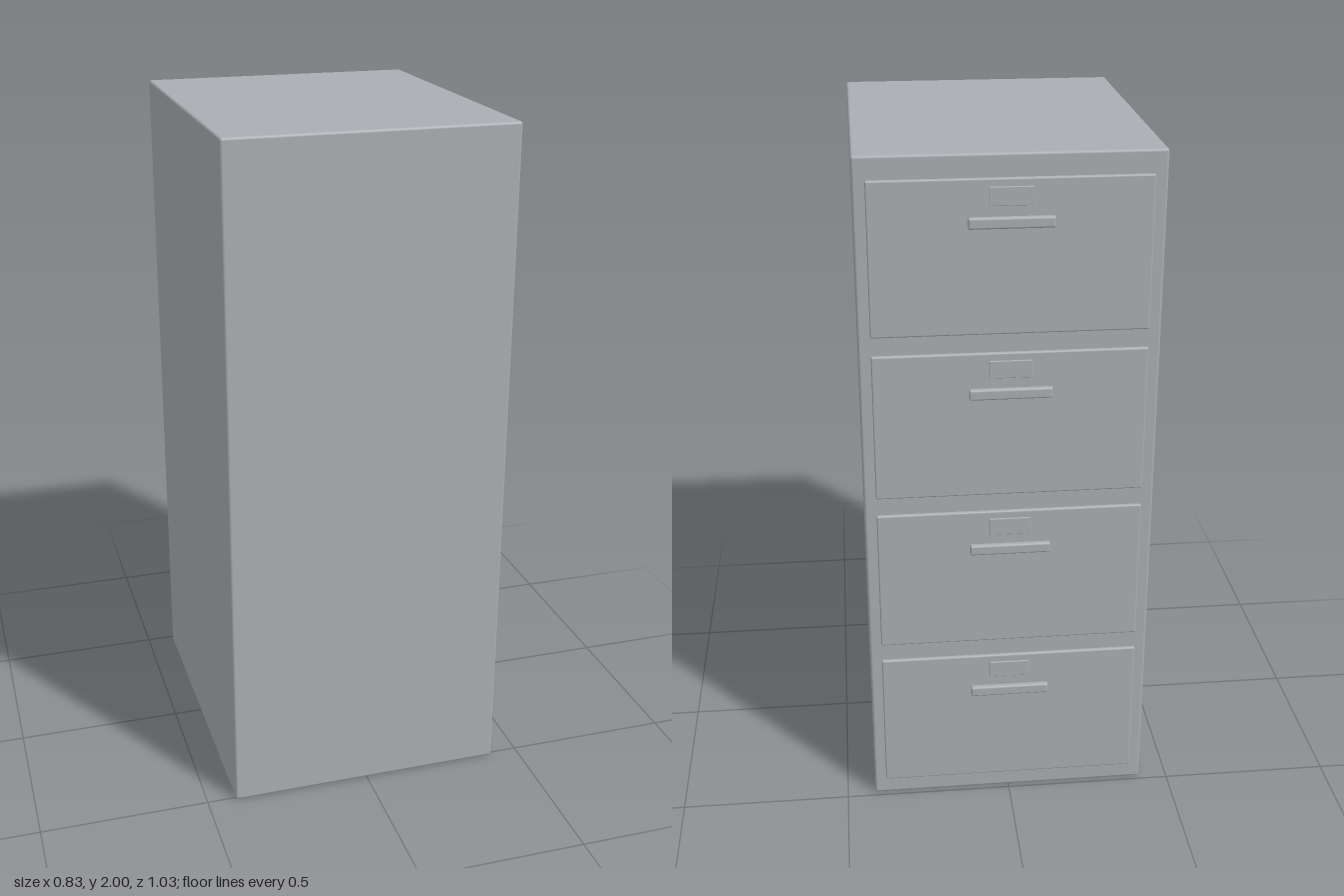
import * as THREE from 'three';
import { RoundedBoxGeometry } from 'three/addons/geometries/RoundedBoxGeometry.js';

const steel = new THREE.MeshStandardMaterial({ color: 0xaaadb2 });
steel.name = 'grey steel';

// Softly rounded block between two z planes, centred at x = 0
function block(name, width, y0, y1, z0, z1, radius) {
  const geometry = new RoundedBoxGeometry(width, y1 - y0, z1 - z0, 3, radius);
  const mesh = new THREE.Mesh(geometry, steel);
  mesh.name = name;
  mesh.position.set(0, (y0 + y1) / 2, (z0 + z1) / 2);
  return mesh;
}

// Drawer front with a label plate and a bar handle, measured from its bottom edge
function createDrawer(number) {
  const drawer = new THREE.Group();
  drawer.name = `drawer${number}`;
  drawer.add(
    block('drawerFront', 0.762, 0, 0.43, -0.496, -0.48, 0.005),
    block('labelPlate', 0.118, 0.357, 0.408, -0.5, -0.492, 0.002),
    block('handle', 0.232, 0.298, 0.329, -0.513, -0.494, 0.006)
  );
  return drawer;
}

export function createModel() {
  const cabinet = new THREE.Group();
  cabinet.name = 'filingCabinet';

  // Case
  cabinet.add(block('case', 0.83, 0, 2, -0.486, 0.513, 0.008));

  // Four equal drawers on the -z side
  for (let i = 0; i < 4; i++) {
    const drawer = createDrawer(i + 1);
    drawer.position.y = 0.054 + i * 0.484;
    cabinet.add(drawer);
  }
  return cabinet;
}
